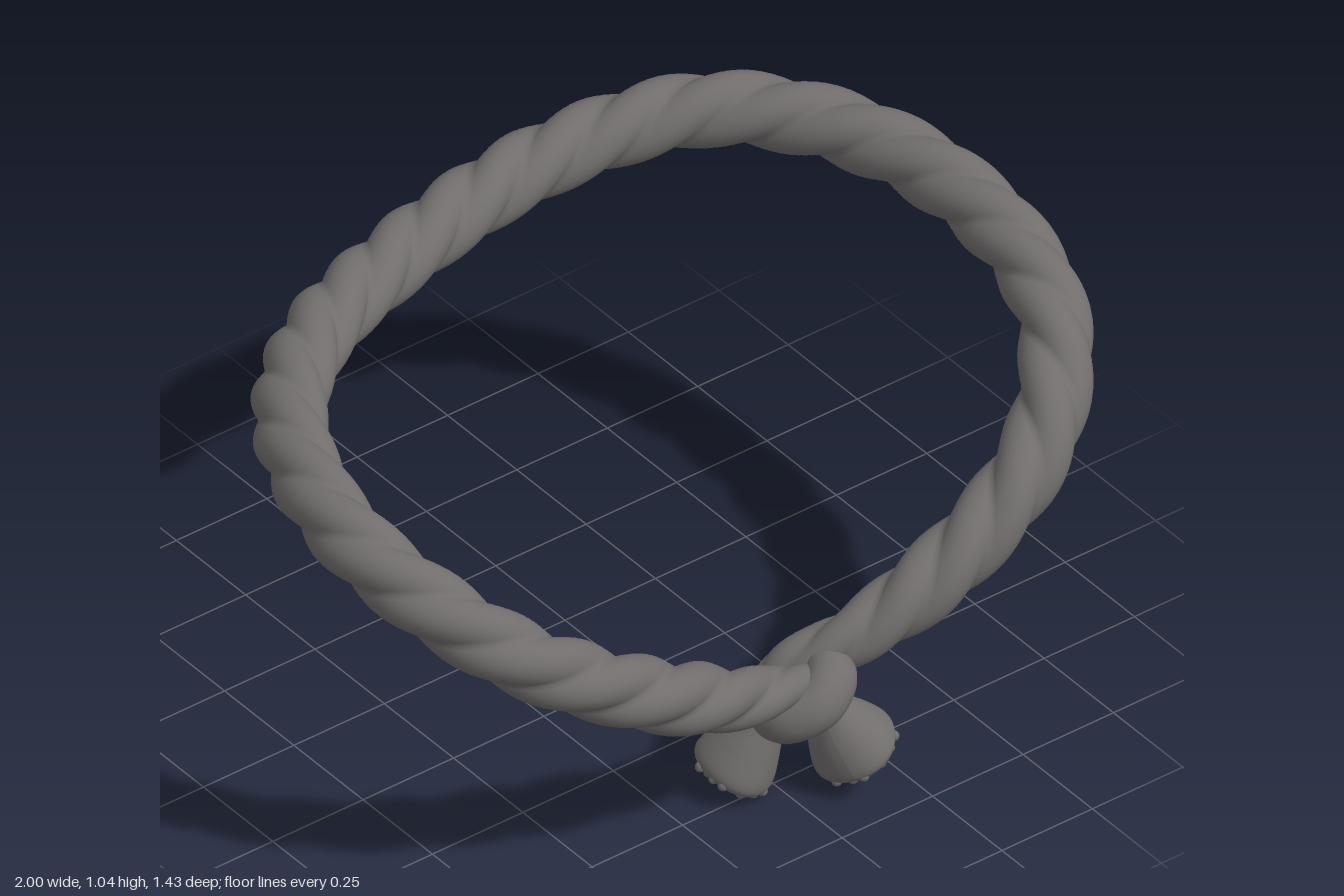
import * as THREE from 'three';

const V = (x, y, z) => new THREE.Vector3(x, y, z);

// Sweep a closed ring along a curve; radius(t, a) shapes it, twist(t) turns it
function sweep(curve, steps, sides, radius, twist, closed = false) {
  const frames = curve.computeFrenetFrames(steps, closed);
  const pos = [], index = [];
  const rings = closed ? steps : steps + 1;
  for (let i = 0; i < rings; i++) {
    const t = i / steps, c = curve.getPointAt(t);
    for (let j = 0; j < sides; j++) {
      const a = (j / sides) * Math.PI * 2, b = a + twist(t), r = radius(t, a);
      const p = c.clone()
        .addScaledVector(frames.normals[i], r * Math.cos(b))
        .addScaledVector(frames.binormals[i], r * Math.sin(b));
      pos.push(p.x, p.y, p.z);
    }
  }
  for (let i = 0; i < steps; i++) {
    for (let j = 0; j < sides; j++) {
      const k = (j + 1) % sides, n = ((i + 1) % rings) * sides, o = i * sides;
      index.push(o + j, o + k, n + j, o + k, n + k, n + j);
    }
  }
  const g = new THREE.BufferGeometry();
  g.setAttribute('position', new THREE.Float32BufferAttribute(pos, 3));
  g.setIndex(index);
  g.computeVertexNormals();
  return g;
}

// Outline of three round strands laid together
function strandRadius(a) {
  const third = Math.PI * 2 / 3, d = 0.028, rs = 0.059;
  const w = a - Math.round(a / third) * third;
  return d * Math.cos(w) + Math.sqrt(rs * rs - (d * Math.sin(w)) ** 2);
}

export function createModel() {
  const group = new THREE.Group();
  const rope = new THREE.MeshStandardMaterial({ color: 0x716d6d, side: THREE.DoubleSide });
  rope.name = 'rope grey';
  const add = (name, geometry, parent = group) => {
    const m = new THREE.Mesh(geometry, rope);
    m.name = name;
    parent.add(m);
    return m;
  };

  // Main twisted loop, from the knot round the left, back and right sides
  const path = new THREE.CatmullRomCurve3([
    V(0, 0.25, 0.5), V(0.03, 0.33, 0.52), V(0.1, 0.37, 0.555), V(0.2, 0.41, 0.59),
    V(0.45, 0.54, 0.62), V(0.67, 0.68, 0.58), V(0.83, 0.8, 0.44), V(0.9, 0.865, 0.27),
    V(0.915, 0.91, 0.05), V(0.87, 0.94, -0.2), V(0.76, 0.96, -0.4), V(0.6, 0.97, -0.54),
    V(0.4, 0.955, -0.615), V(0.2, 0.935, -0.64), V(0, 0.92, -0.625), V(-0.25, 0.91, -0.57),
    V(-0.5, 0.92, -0.47), V(-0.7, 0.935, -0.32), V(-0.83, 0.945, -0.15), V(-0.91, 0.93, 0.08),
    V(-0.905, 0.885, 0.25), V(-0.82, 0.79, 0.43), V(-0.7, 0.69, 0.535), V(-0.5, 0.56, 0.595),
    V(-0.3, 0.45, 0.61), V(-0.12, 0.37, 0.6), V(0, 0.33, 0.59), V(0.06, 0.26, 0.57),
  ]);
  const length = path.getLength();
  const turns = length / 0.54;
  const taper = t => 0.66 + 0.34 * THREE.MathUtils.smoothstep(Math.min(t, 1 - t) * length, 0.05, 0.5);
  add('twistedRopeLoop', sweep(path, 420, 36,
    (t, a) => strandRadius(a) * taper(t), t => -turns * Math.PI * 2 * t));

  // Knot wraps round the two rope ends
  const wrap = (name, points, r) => add(name, sweep(
    new THREE.CatmullRomCurve3(points, true), 64, 16,
    (t, a) => r * (1 + 0.08 * Math.cos(2 * a)), () => 0, true));
  wrap('knotWrap', [
    V(-0.055, 0.28, 0.6), V(0.01, 0.315, 0.647), V(0.07, 0.35, 0.62),
    V(0.09, 0.33, 0.54), V(0.04, 0.3, 0.495), V(-0.04, 0.28, 0.53),
  ], 0.056);
  wrap('lowerKnotWrap', [
    V(-0.02, 0.265, 0.58), V(0.05, 0.265, 0.605), V(0.1, 0.285, 0.58),
    V(0.1, 0.29, 0.52), V(0.04, 0.28, 0.487), V(-0.02, 0.27, 0.52),
  ], 0.038);

  // Flared, frayed rope ends
  const tassel = (name, neck, end, r) => {
    const t = new THREE.Group();
    t.name = name;
    const axis = end.clone().sub(neck), len = axis.length();
    t.position.copy(neck);
    t.quaternion.setFromUnitVectors(V(0, 1, 0), axis.normalize());
    const profile = new THREE.SplineCurve([
      [0.045, -0.03], [0.047, 0.02], [0.055, len * 0.3], [r * 0.78, len * 0.55],
      [r * 0.96, len * 0.8], [r, len * 0.93], [r * 0.93, len],
    ].map(p => new THREE.Vector2(...p))).getPoints(24);
    profile.push(new THREE.Vector2(0, len));
    const flare = new THREE.LatheGeometry(profile, 36);
    // Shallow folds that fade towards the neck
    const p = flare.attributes.position;
    for (let i = 0; i < p.count; i++) {
      const a = Math.atan2(p.getZ(i), p.getX(i));
      const s = 1 + 0.04 * Math.sin(3 * a + 1) * THREE.MathUtils.clamp(p.getY(i) / len, 0, 1);
      p.setX(i, p.getX(i) * s);
      p.setZ(i, p.getZ(i) * s);
    }
    flare.computeVertexNormals();
    add('flare', flare, t);
    // Fibre tips packed over the cut face
    const count = 42;
    for (let i = 0; i < count; i++) {
      const q = r * 0.9 * Math.sqrt((i + 0.5) / count), a = i * 2.39996;
      const tip = add('fibreTip', new THREE.SphereGeometry(0.013, 8, 6), t);
      tip.position.set(q * Math.cos(a), len + 0.004 * Math.sin(i * 5.3), q * Math.sin(a));
    }
    group.add(t);
  };
  tassel('frontTassel', V(0.065, 0.265, 0.57), V(0.158, 0.095, 0.605), 0.1);
  tassel('rearTassel', V(0, 0.25, 0.505), V(-0.08, 0.06, 0.455), 0.094);

  return group;
}
